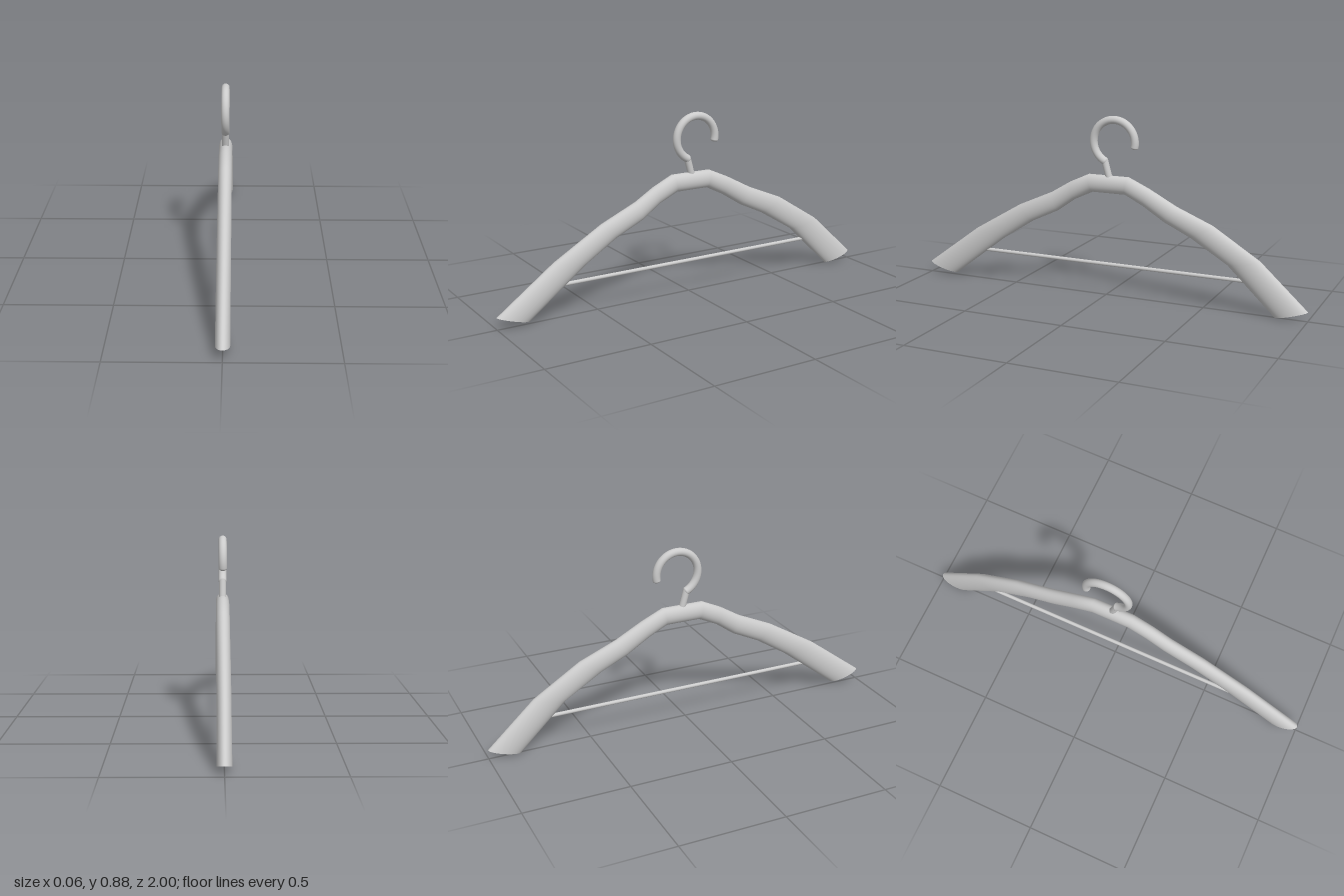
import * as THREE from 'three';

const material = new THREE.MeshStandardMaterial({ color: 0xcccccc });

function add(group, name, geometry) {
  const mesh = new THREE.Mesh(geometry, material);
  mesh.name = name;
  group.add(mesh);
  return mesh;
}

// Round rod between two points
function rod(group, name, a, b, radius) {
  const mesh = add(group, name, new THREE.CylinderGeometry(radius, radius, a.distanceTo(b), 24));
  mesh.position.copy(a).lerp(b, 0.5);
  mesh.quaternion.setFromUnitVectors(new THREE.Vector3(0, 1, 0), b.clone().sub(a).normalize());
  return mesh;
}

// Shoulder bar: each section is an ellipse between an upper and a lower point [zTop, yTop, zBottom, yBottom]
const SECTIONS = [
  [1.0, 0.06, 0.845, 0.015],
  [0.717, 0.267, 0.556, 0.235],
  [0.47, 0.412, 0.395, 0.337],
  [0.29, 0.492, 0.257, 0.402],
  [0.19, 0.552, 0.166, 0.467],
  [0.09, 0.598, 0.07, 0.512],
  [-0.115, 0.598, -0.1, 0.512],
  [-0.222, 0.55, -0.19, 0.467],
  [-0.358, 0.478, -0.3, 0.398],
  [-0.54, 0.403, -0.43, 0.337],
  [-0.77, 0.259, -0.615, 0.225],
  [-1.0, 0.047, -0.845, 0.003],
];

function shoulderGeometry(halfWidth, sides) {
  const positions = [];
  const index = [];
  const ring = ([zt, yt, zb, yb]) => {
    for (let j = 0; j < sides; j++) {
      const t = (j / sides) * Math.PI * 2;
      const s = Math.sin(t) / 2;
      positions.push(halfWidth * Math.cos(t), (yt + yb) / 2 + s * (yt - yb), (zt + zb) / 2 + s * (zt - zb));
    }
  };
  SECTIONS.forEach(ring);
  for (let i = 0; i < SECTIONS.length - 1; i++) {
    for (let j = 0; j < sides; j++) {
      const a = i * sides + j;
      const b = i * sides + ((j + 1) % sides);
      index.push(a, a + sides, b, b, a + sides, b + sides);
    }
  }
  // Flat end caps with their own vertices for a sharp rim
  [SECTIONS[0], SECTIONS[SECTIONS.length - 1]].forEach((section, end) => {
    const start = positions.length / 3;
    ring(section);
    for (let j = 1; j < sides - 1; j++) {
      if (end === 0) index.push(start, start + j, start + j + 1);
      else index.push(start, start + j + 1, start + j);
    }
  });
  const geometry = new THREE.BufferGeometry();
  geometry.setAttribute('position', new THREE.Float32BufferAttribute(positions, 3));
  geometry.setIndex(index);
  geometry.computeVertexNormals();
  return geometry;
}

export function createModel() {
  const group = new THREE.Group();
  group.name = 'coatHanger';

  add(group, 'shoulderBar', shoulderGeometry(0.032, 40));

  // Thin trouser rail between the arms
  rod(group, 'trouserRail', new THREE.Vector3(0, 0.158, 0.68), new THREE.Vector3(0, 0.158, -0.71), 0.009);

  // Leaning stem below the hook
  rod(group, 'hookStem', new THREE.Vector3(0, 0.57, -0.02), new THREE.Vector3(0, 0.672, 0.008), 0.0165);

  // Open ring hook
  const radius = 0.106;
  const tube = 0.019;
  const from = THREE.MathUtils.degToRad(-64);
  const to = THREE.MathUtils.degToRad(190);
  const hook = new THREE.Group();
  hook.name = 'hook';
  hook.position.set(0, 0.761, -0.041);
  hook.rotation.y = -Math.PI / 2; // local x runs along +z
  group.add(hook);
  const arc = add(hook, 'hookRing', new THREE.TorusGeometry(radius, tube, 24, 64, to - from));
  arc.rotation.z = from;

  // Slightly rounded ends
  for (const [name, angle] of [['hookRoot', from], ['hookTip', to]]) {
    const cap = add(hook, name, new THREE.SphereGeometry(tube, 24, 16));
    cap.position.set(radius * Math.cos(angle), radius * Math.sin(angle), 0);
    cap.rotation.z = angle;
    cap.scale.y = 0.6;
  }

  return group;
}
